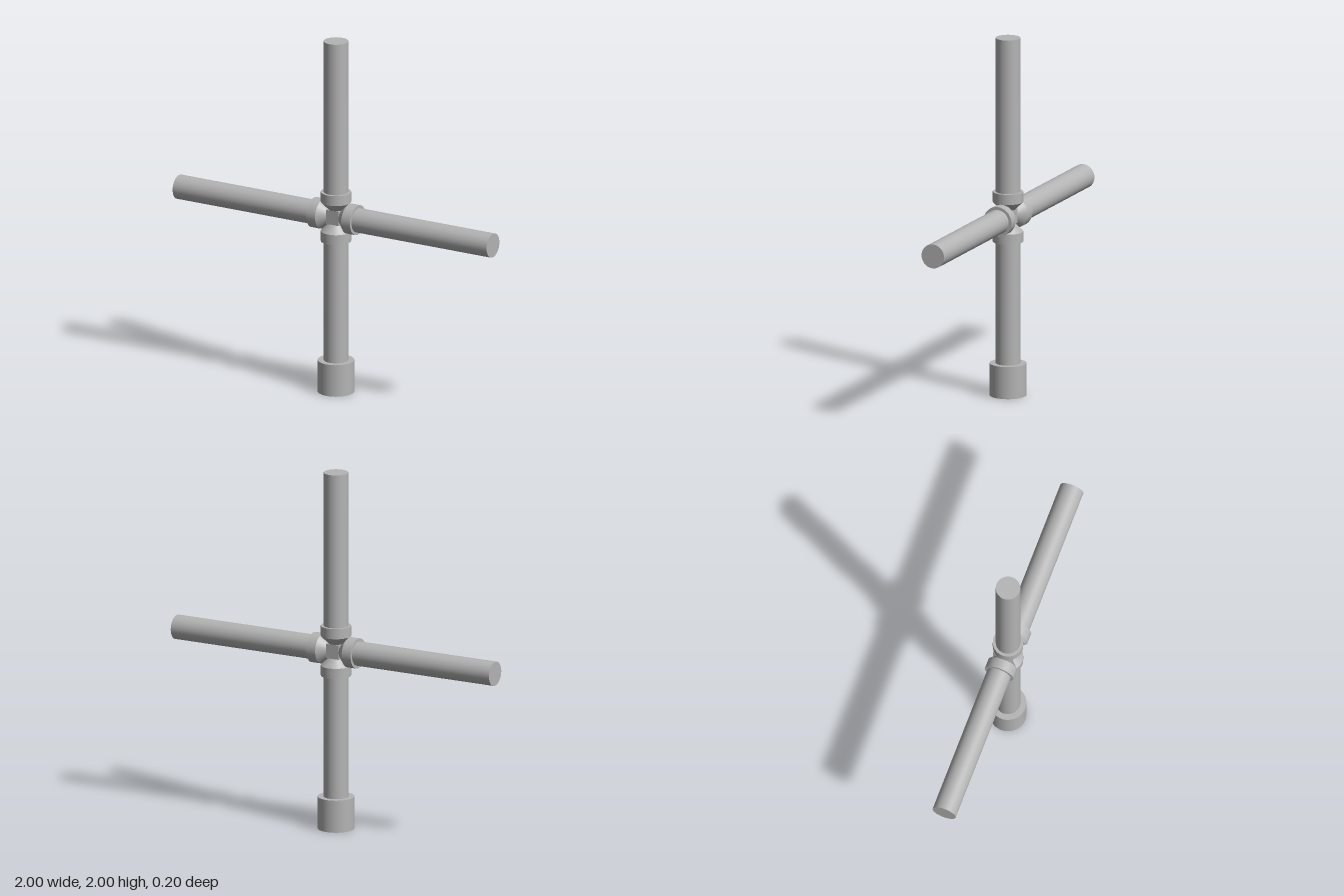
import * as THREE from 'three';

const SEG = 48;

export function createModel() {
  const model = new THREE.Group();
  const grey = new THREE.MeshStandardMaterial({ color: 0xb4b4b4 });
  grey.name = 'pipe grey';

  // Upright cylinder or cone frustum spanning y0..y1
  const tube = (name, parent, y0, y1, rBottom, rTop, open = false) => {
    const geo = new THREE.CylinderGeometry(rTop, rBottom, y1 - y0, SEG, 1, open);
    const mesh = new THREE.Mesh(geo, grey);
    mesh.name = name;
    mesh.position.y = (y0 + y1) / 2;
    parent.add(mesh);
    return mesh;
  };

  // Four arms radiating from the cross joint: pipe, collar and tapered neck
  const joint = new THREE.Group();
  joint.name = 'crossJoint';
  joint.position.y = 1;
  model.add(joint);
  ['top', 'right', 'bottom', 'left'].forEach((side, i) => {
    const arm = new THREE.Group();
    arm.name = side + 'Arm';
    arm.rotation.z = (i * Math.PI) / 2;
    tube('neck', arm, 0.04, 0.083, 0.04, 0.083);
    tube('collar', arm, 0.083, 0.14, 0.083, 0.083);
    tube('pipe', arm, 0.13, side === 'bottom' ? 0.9 : 1, 0.067, 0.067);
    joint.add(arm);
  });

  // Small block where the necks meet
  const core = new THREE.Mesh(new THREE.BoxGeometry(0.08, 0.08, 0.08), grey);
  core.name = 'jointCore';
  joint.add(core);

  // End cap at the foot
  tube('footCap', model, 0, 0.18, 0.1, 0.1);

  return model;
}
